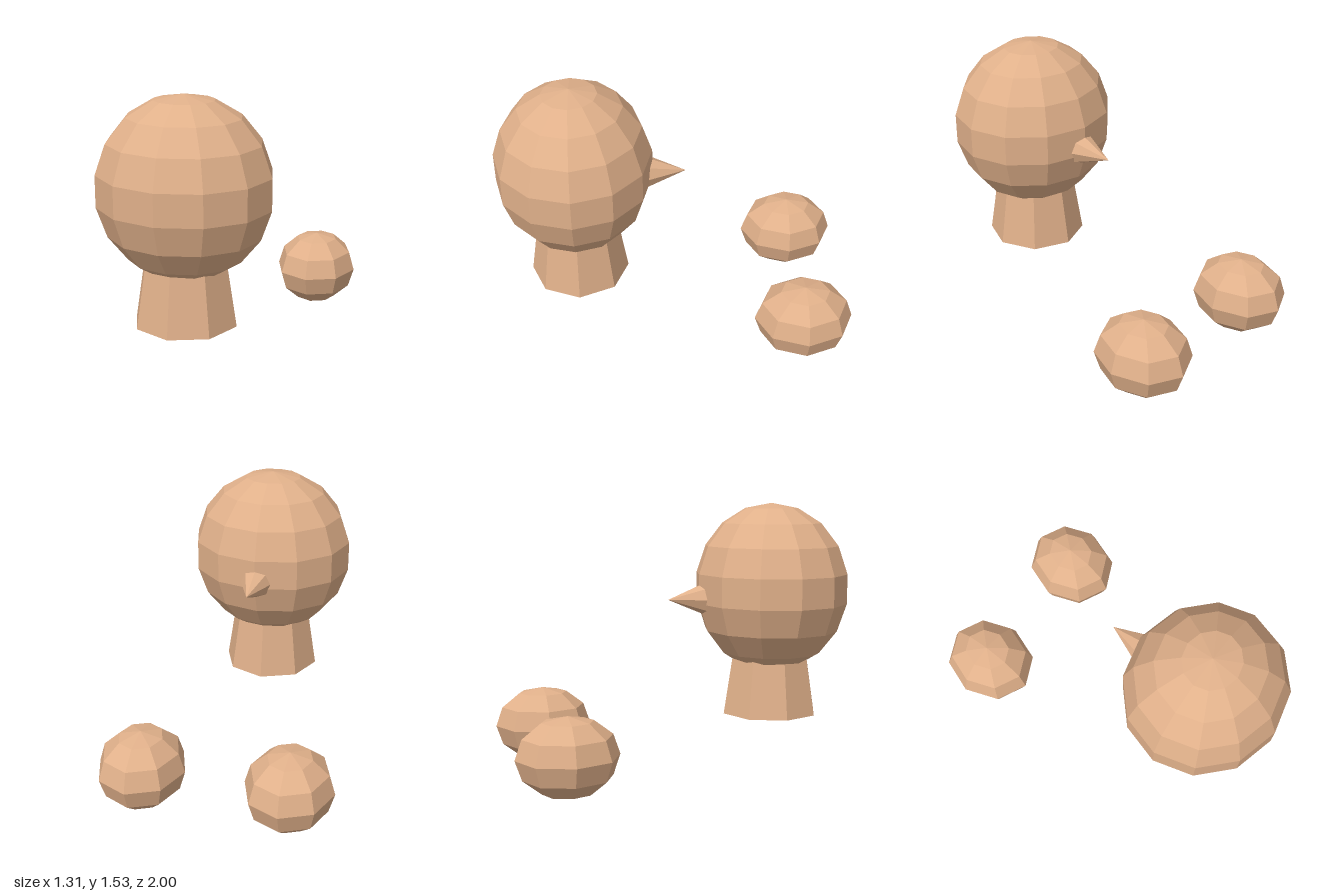
import * as THREE from 'three';

export function createModel() {
  const group = new THREE.Group();
  const skin = new THREE.MeshStandardMaterial({ color: 0xe0b08a, flatShading: true });

  function add(name, geometry, x, y, z) {
    const mesh = new THREE.Mesh(geometry, skin);
    mesh.name = name;
    mesh.position.set(x, y, z);
    group.add(mesh);
    return mesh;
  }

  // Head: faceted ellipsoid
  add('head', new THREE.SphereGeometry(1, 12, 9).scale(0.475, 0.49, 0.444), 0, 1.04, 0.5625);

  // Neck: tapered eight-sided column reaching up into the head
  const neckBottom = 0.305, neckTop = 0.75;
  add('neck', new THREE.CylinderGeometry(0.214, 0.284, neckTop - neckBottom, 8),
    0, (neckBottom + neckTop) / 2, 0.5625);

  // Spike: cone pointing backwards, with its base sunk in the head
  const spikeLength = 0.28;
  add('spike', new THREE.ConeGeometry(0.118, spikeLength, 8).rotateX(-Math.PI / 2),
    0, 0.985, -0.06 + spikeLength / 2);

  // Pair of separate rounded feet behind the head
  for (const [name, side] of [['leftFoot', 1], ['rightFoot', -1]]) {
    add(name, new THREE.SphereGeometry(1, 8, 6).scale(0.244, 0.22, 0.28), side * 0.41, 0.221, -0.72);
  }

  return group;
}
